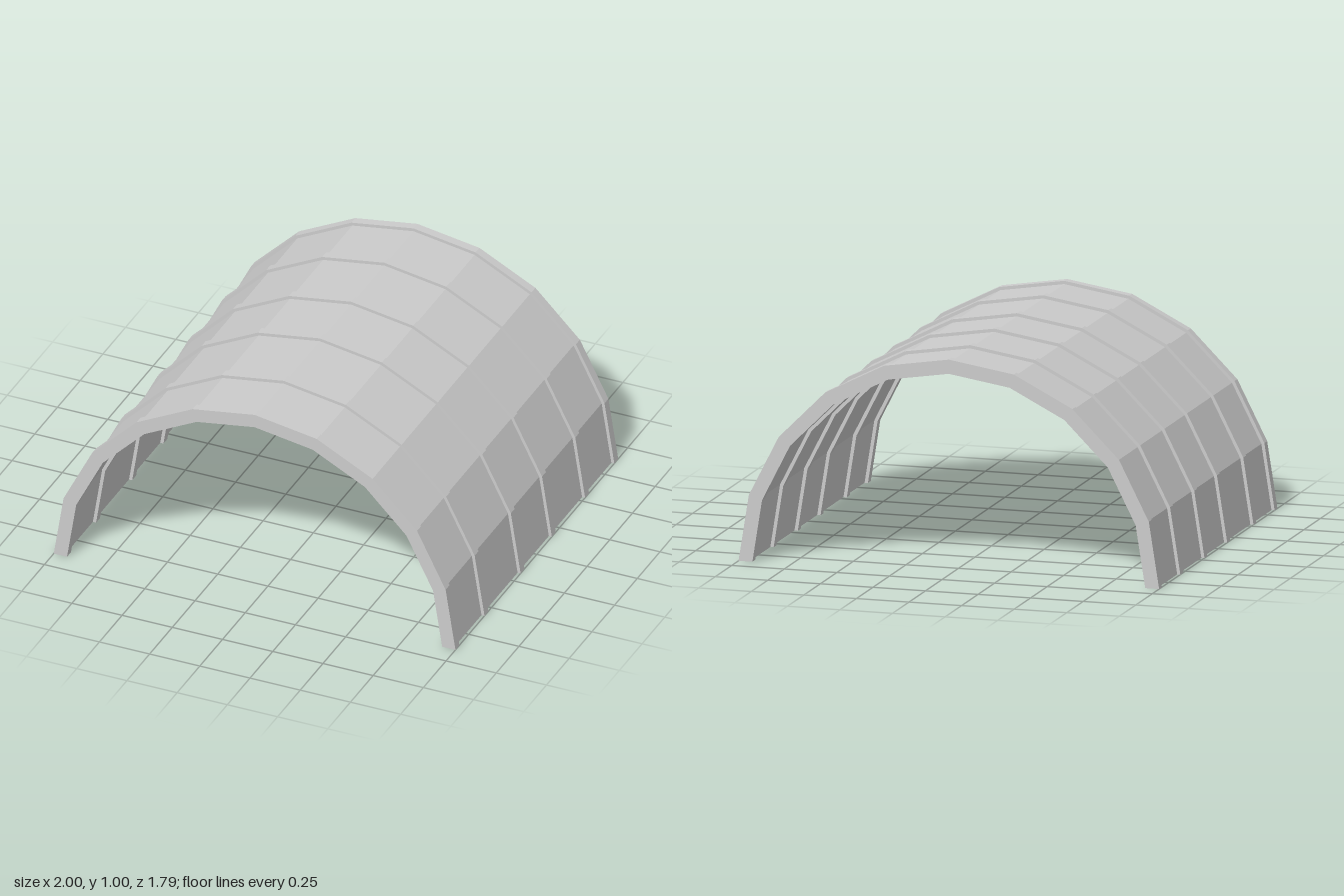
import * as THREE from 'three';

const SEGMENTS = 10; // flat facets around the half circle

// Faceted half-ring, extruded along z and centred on its own depth
function archGeometry(outer, inner, depth) {
  const pts = [];
  const add = (r, i) => {
    const a = (i / SEGMENTS) * Math.PI;
    pts.push(new THREE.Vector2(r * Math.cos(a), r * Math.sin(a)));
  };
  for (let i = 0; i <= SEGMENTS; i++) add(outer, i);
  for (let i = SEGMENTS; i >= 0; i--) add(inner, i);
  const geo = new THREE.ExtrudeGeometry(new THREE.Shape(pts), { depth, bevelEnabled: false });
  return geo.translate(0, 0, -depth / 2);
}

export function createModel() {
  const group = new THREE.Group();
  group.name = 'archedShelter';
  const material = new THREE.MeshStandardMaterial({ color: 0xcccccc, flatShading: true });

  // Thin vault skin running the full length between the end ribs
  const skin = new THREE.Mesh(archGeometry(0.985, 0.95, 1.75), material);
  skin.name = 'vaultSkin';
  group.add(skin);

  // Ribs stand proud of the skin inside and out, at slightly uneven spacing
  const ribGeo = archGeometry(1, 0.934, 0.043);
  [0.875, 0.555, 0.157, -0.187, -0.553, -0.875].forEach((z, i) => {
    const rib = new THREE.Mesh(ribGeo, material);
    rib.name = `archRib${i + 1}`;
    rib.position.z = z;
    group.add(rib);
  });

  return group;
}
